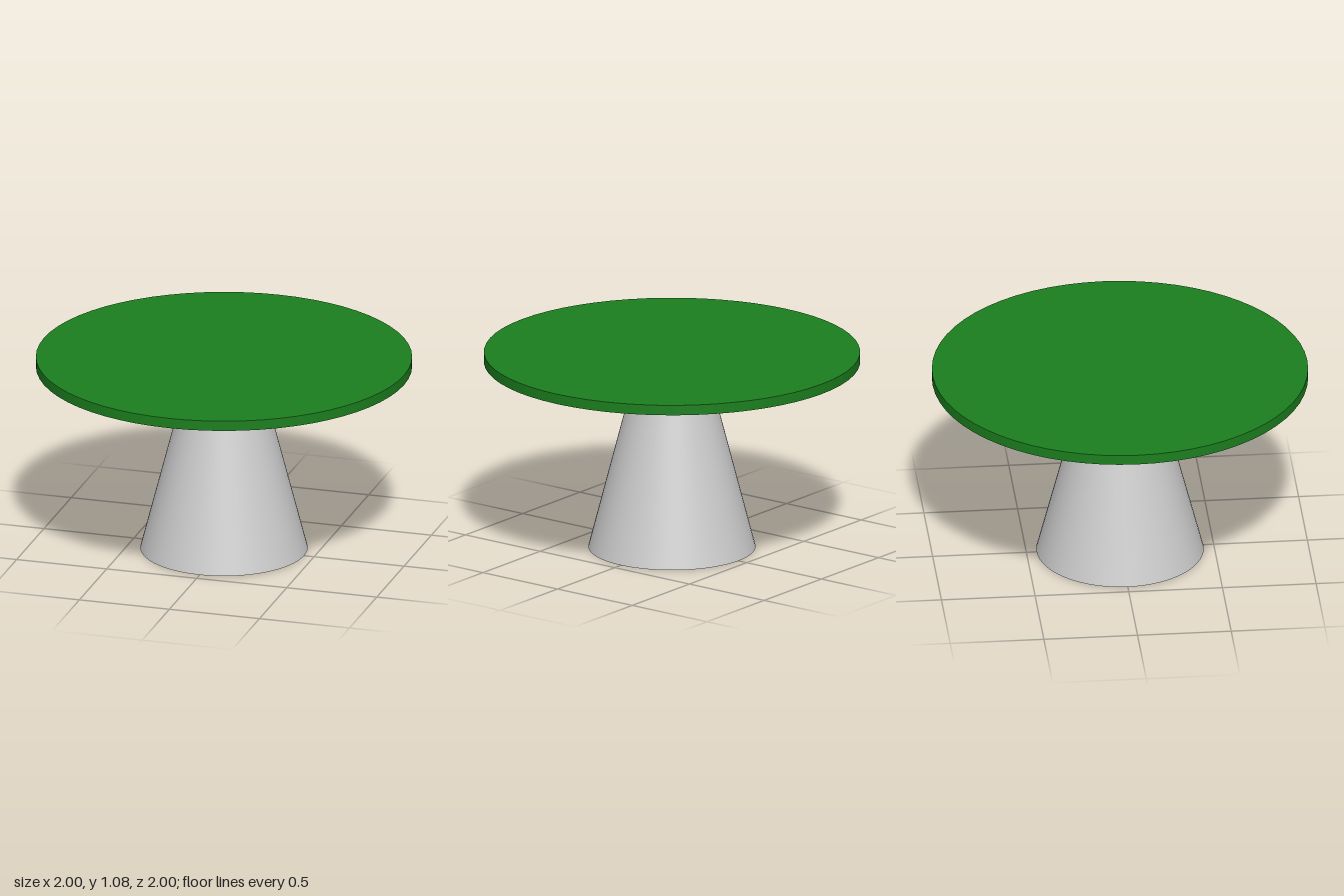
import * as THREE from 'three';

const SEGMENTS = 64;
const BASE_HEIGHT = 1.025;
const TOP_THICKNESS = 0.055;

// Upright round part standing at height y
function roundPart(name, topRadius, bottomRadius, height, y, color) {
  const geometry = new THREE.CylinderGeometry(topRadius, bottomRadius, height, SEGMENTS);
  const mesh = new THREE.Mesh(geometry, new THREE.MeshStandardMaterial({ color }));
  mesh.name = name;
  mesh.position.y = y + height / 2;
  return mesh;
}

export function createModel() {
  const table = new THREE.Group();
  table.name = 'roundTable';

  // Tapered pedestal
  table.add(roundPart('pedestal', 0.18, 0.445, BASE_HEIGHT, 0, 0xcccccc));
  // Thin green disc resting on the pedestal
  table.add(roundPart('tableTop', 1, 1, TOP_THICKNESS, BASE_HEIGHT, 0x1b7f1e));

  return table;
}
